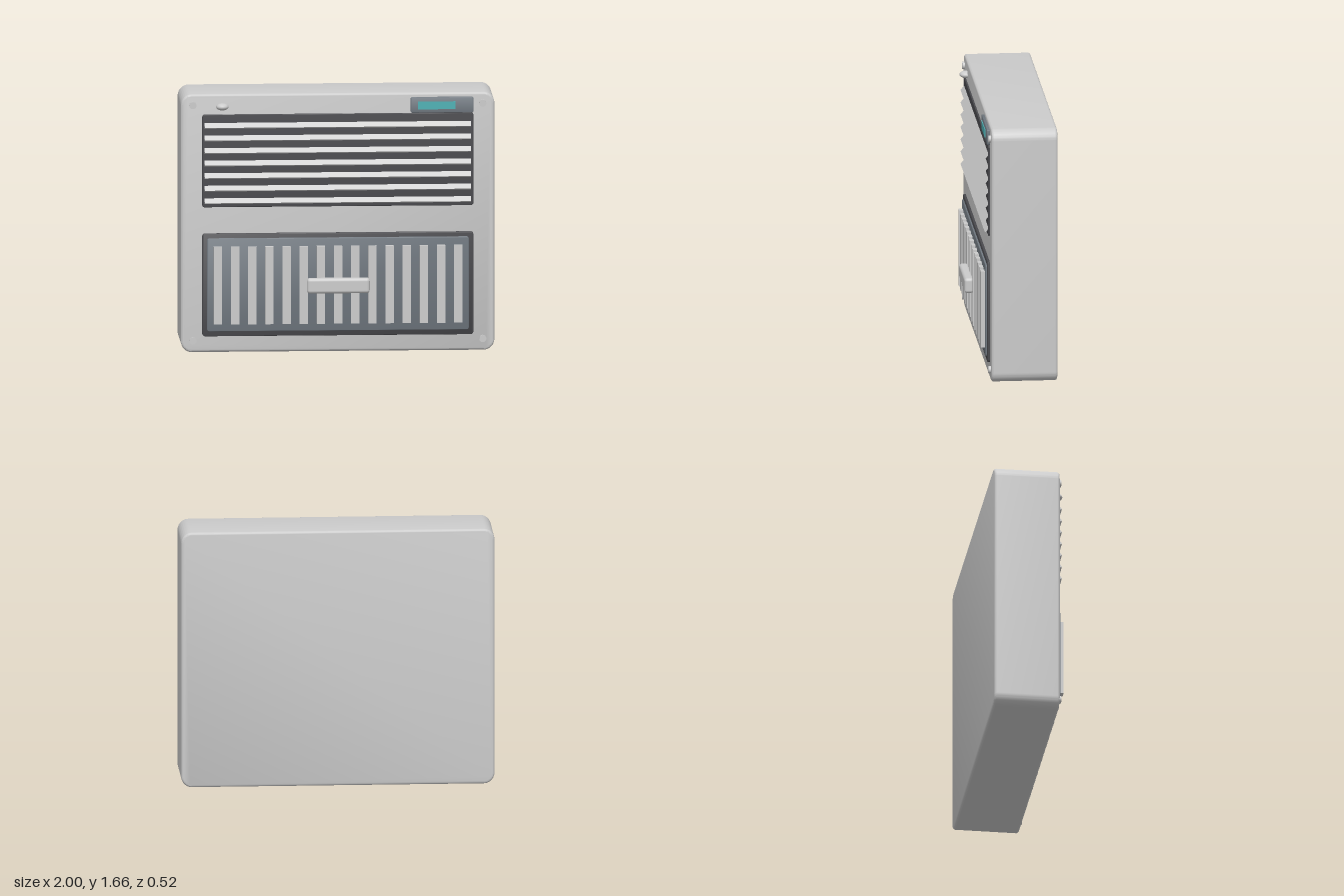
import * as THREE from 'three';
import { toCreasedNormals } from 'three/addons/utils/BufferGeometryUtils.js';
import { RoundedBoxGeometry } from 'three/addons/geometries/RoundedBoxGeometry.js';

const paint = (color) => new THREE.MeshStandardMaterial({ color });
const grey = paint(0xcccccc);
const dark = paint(0x4a4a4e);
const slate = paint(0x727a82);
const barGrey = paint(0xc4c4c2);
const teal = paint(0x4fb0b4);

// Plate with rounded corners and a bevelled rim, spanning x0..x1, y0..y1, z0..z1
function plate(name, [x0, x1], [y0, y1], [z0, z1], radius, bevel, material) {
  const w = (x1 - x0) / 2 - bevel, h = (y1 - y0) / 2 - bevel, r = radius - bevel;
  const shape = new THREE.Shape();
  shape.absarc(w - r, h - r, r, 0, Math.PI / 2);
  shape.absarc(r - w, h - r, r, Math.PI / 2, Math.PI);
  shape.absarc(r - w, r - h, r, Math.PI, Math.PI * 1.5);
  shape.absarc(w - r, r - h, r, Math.PI * 1.5, Math.PI * 2);
  const geometry = new THREE.ExtrudeGeometry(shape, {
    depth: z1 - z0 - 2 * bevel, bevelSize: bevel, bevelThickness: bevel,
    bevelSegments: 4, curveSegments: 8,
  });
  geometry.translate((x0 + x1) / 2, (y0 + y1) / 2, z0 + bevel);
  const mesh = new THREE.Mesh(toCreasedNormals(geometry, 0.7), material);
  mesh.name = name;
  return mesh;
}

export function createModel() {
  const model = new THREE.Group();
  const add = (name, geometry, material, x, y, z, parent = model) => {
    const mesh = new THREE.Mesh(geometry, material);
    mesh.name = name;
    mesh.position.set(x, y, z);
    parent.add(mesh);
    return mesh;
  };

  // Cabinet
  model.add(plate('cabinet', [-1, 1], [0, 1.665], [-0.262, 0.16], 0.07, 0.016, grey));

  // Upper vent with slats sloping down to the front
  const vent = new THREE.Group();
  vent.name = 'vent';
  vent.add(plate('ventBacking', [-0.865, 0.865], [0.937, 1.535], [0.15, 0.17], 0.016, 0.004, dark));
  const slatGeometry = new THREE.BoxGeometry(1.7, 0.01, 0.042);
  for (let i = 0; i < 7; i++) {
    add('slat', slatGeometry, grey, 0, 0.98 + i * 0.081, 0.176, vent).rotation.x = 0.9;
  }
  model.add(vent);

  // Lower door: frame, panel, upright bars and handle
  const door = new THREE.Group();
  door.name = 'door';
  door.add(plate('doorFrame', [-0.865, 0.865], [0.105, 0.768], [0.15, 0.175], 0.018, 0.004, dark));
  door.add(plate('doorPanel', [-0.835, 0.835], [0.138, 0.738], [0.16, 0.185], 0.014, 0.004, slate));
  const barGeometry = new THREE.BoxGeometry(0.053, 0.5, 0.03);
  for (let i = -7; i <= 7; i++) add('bar', barGeometry, barGrey, i * 0.1095, 0.436, 0.196, door);
  add('handle', new RoundedBoxGeometry(0.4, 0.098, 0.06, 4, 0.02), grey, 0, 0.436, 0.232, door);
  model.add(door);

  // Display and its screen
  model.add(plate('displayHousing', [0.465, 0.865], [1.537, 1.637], [0.15, 0.178], 0.01, 0.004, slate));
  add('displayScreen', new THREE.BoxGeometry(0.24, 0.05, 0.01), teal, 0.63, 1.585, 0.178);

  // Oval knob
  add('knob', new THREE.SphereGeometry(1, 24, 16), grey, -0.737, 1.585, 0.17).scale.set(0.04, 0.023, 0.04);

  // Corner screws
  const screwGeometry = new THREE.CylinderGeometry(0.023, 0.023, 0.024, 16).rotateX(Math.PI / 2);
  for (const x of [-0.925, 0.925]) {
    for (const y of [0.076, 1.595]) add('screw', screwGeometry, grey, x, y, 0.164);
  }

  return model;
}
